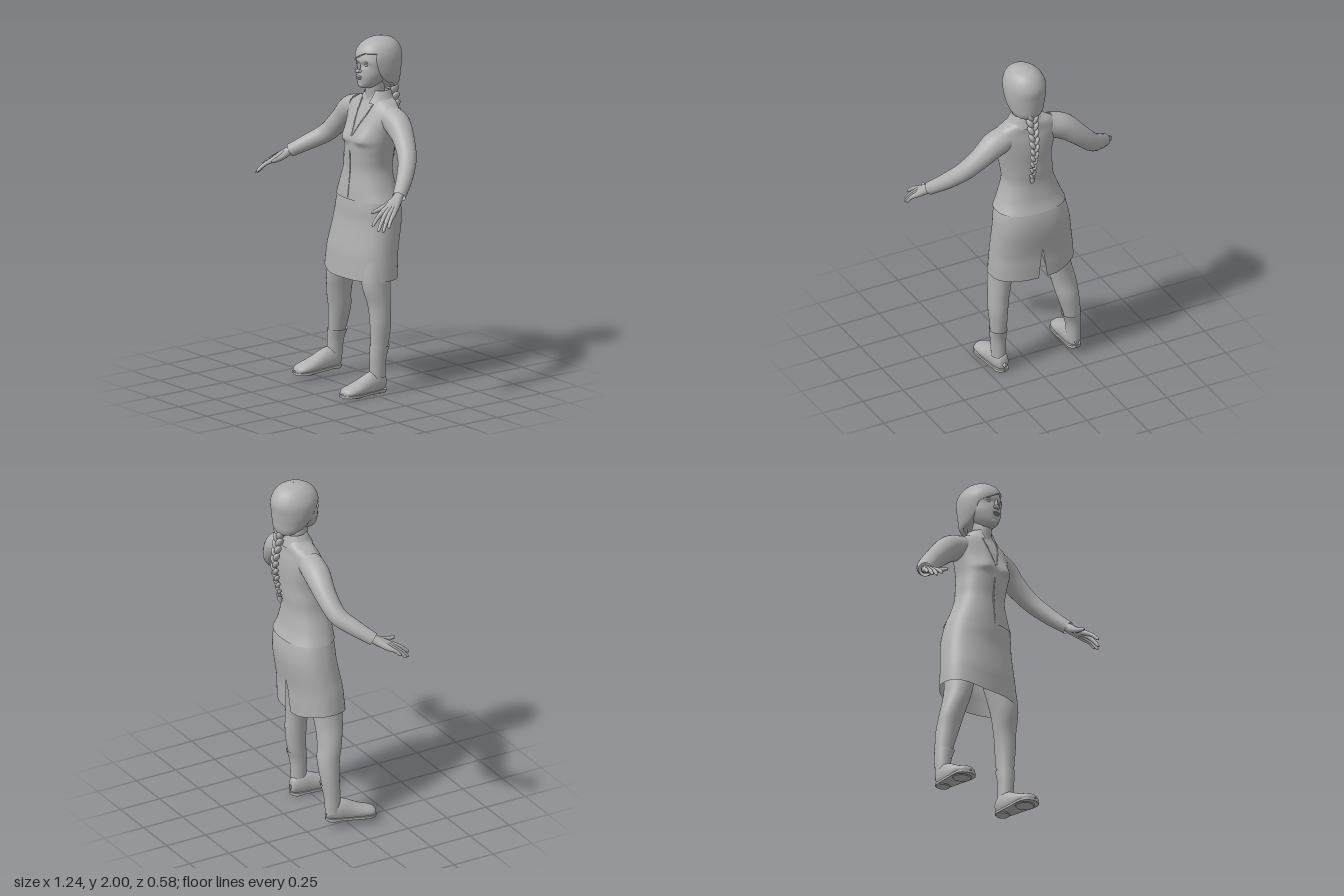
import * as THREE from 'three';

const grey = new THREE.MeshStandardMaterial({ color: 0xb0b0b0, side: THREE.DoubleSide });
grey.name = 'plain grey';
const V = (p) => new THREE.Vector3(...p);
const { smoothstep, lerp, clamp } = THREE.MathUtils;

function add(parent, geometry, name) {
  const mesh = new THREE.Mesh(geometry, grey);
  mesh.name = name;
  parent.add(mesh);
  return mesh;
}

// Smooth interpolation of any list of numbers
function spline(a, u) {
  const i = Math.min(Math.floor(u), a.length - 2), t = u - i;
  const p1 = a[i], p2 = a[i + 1], p0 = a[i - 1] ?? p1, p3 = a[i + 2] ?? p2;
  const m1 = (p2 - p0) / 2, m2 = (p3 - p1) / 2, t2 = t * t, t3 = t2 * t;
  return p1 * (2 * t3 - 3 * t2 + 1) + m1 * (t3 - 2 * t2 + t) + p2 * (3 * t2 - 2 * t3) + m2 * (t3 - t2);
}

// Skin over oval sections, rows of [y, centre x, radius x, centre z, radius z] from bottom to top.
// gap(y) opens the ring by that half angle at the seam angle; warp moves each finished point.
function loft(rows, { segs = 48, steps = 6, power = 2, seam = 0, gap = null, warp = null } = {}) {
  const pos = [], index = [], n = (rows.length - 1) * steps, cols = gap ? segs + 1 : segs;
  const squash = (s) => Math.sign(s) * Math.abs(s) ** (2 / power);
  for (let i = 0; i <= n; i++) {
    const [y, cx, rx, cz, rz] = [0, 1, 2, 3, 4].map((k) => spline(rows.map((r) => r[k]), i / steps));
    const g = gap ? gap(y) : 0;
    for (let j = 0; j < cols; j++) {
      const a = seam + g + (j / segs) * (2 * Math.PI - 2 * g);
      const v = V([cx + rx * squash(Math.sin(a)), y, cz + rz * squash(Math.cos(a))]);
      if (warp) warp(v, cx, cz);
      pos.push(v.x, v.y, v.z);
      if (i < n && j < segs) {
        const k = (j + 1) % cols, p = i * cols, q = p + cols;
        index.push(p + j, p + k, q + k, p + j, q + k, q + j);
      }
    }
  }
  const geo = new THREE.BufferGeometry();
  geo.setAttribute('position', new THREE.Float32BufferAttribute(pos, 3));
  geo.setIndex(index);
  geo.computeVertexNormals();
  return geo;
}

// Tube whose radius changes along the path, optionally with a rounded tip
function limb(points, radii, round = true, segs = 36, sides = 18) {
  const curve = new THREE.CatmullRomCurve3(points.map(V));
  const geo = new THREE.TubeGeometry(curve, segs, 1, sides);
  const p = geo.attributes.position, v = new THREE.Vector3();
  for (let i = 0; i <= segs; i++) {
    const u = i / segs, c = curve.getPointAt(u);
    let r = spline(radii, curve.getUtoTmapping(u) * (radii.length - 1));
    if (round) r *= Math.sqrt(Math.max(0, 1 - clamp((u - 0.9) / 0.1, 0, 1) ** 2));
    for (let j = 0; j <= sides; j++) {
      const k = i * (sides + 1) + j;
      v.fromBufferAttribute(p, k).sub(c).multiplyScalar(r).add(c);
      p.setXYZ(k, v.x, v.y, v.z);
    }
  }
  return geo;
}

function blob(parent, name, at, size, tilt = 0) {
  const m = add(parent, new THREE.SphereGeometry(1, 24, 16), name);
  m.position.set(...at);
  m.scale.set(...size);
  m.rotation.z = tilt;
  return m;
}

const torsoRows = [
  [1.085, 0.022, 0.208, -0.11, 0.144], [1.15, 0.022, 0.18, -0.102, 0.13], [1.25, 0.027, 0.148, -0.1, 0.118],
  [1.33, 0.036, 0.147, -0.1, 0.122], [1.4, 0.046, 0.152, -0.1, 0.124], [1.48, 0.05, 0.165, -0.112, 0.116],
  [1.55, 0.052, 0.18, -0.122, 0.102], [1.6, 0.053, 0.178, -0.13, 0.086], [1.635, 0.057, 0.14, -0.138, 0.076],
  [1.66, 0.062, 0.092, -0.14, 0.07], [1.69, 0.066, 0.062, -0.138, 0.062]];
const bust = (x, y) => {
  const f = Math.exp(-(((y - 1.43) / (y < 1.43 ? 0.025 : 0.07)) ** 2));
  return 0.027 * f * [-0.075, 0.075].reduce((s, d) => s + Math.exp(-(((x - 0.047 - d) / 0.055) ** 2)), 0);
};
// Height of the chest surface, for laying seams on it
function chest(x, y) {
  const i = clamp(torsoRows.findIndex((r) => r[0] >= y), 1, torsoRows.length - 1), a = torsoRows[i - 1], b = torsoRows[i];
  const [, cx, rx, cz, rz] = a.map((q, k) => lerp(q, b[k], (y - a[0]) / (b[0] - a[0])));
  return [x, y, cz + rz * (1 - Math.min(1, Math.abs(x - cx) / rx) ** 2.3) ** (1 / 2.3) + bust(x, y)];
}

function buildClothes(g) {
  add(g, loft(torsoRows, {
    segs: 80, steps: 10, power: 2.3,
    warp: (v, cx, cz) => { v.z += bust(v.x, v.y) * smoothstep(v.z, cz, cz + 0.07); },
  }), 'jacket');
  // Front closing and the two edges of the open neck
  const seams = [[[0.035, 1.45], [0.025, 1.36], [0.02, 1.25], [0.018, 1.09]],
    [[0.018, 1.65], [0.02, 1.58], [0.03, 1.5], [0.036, 1.44]],
    [[0.125, 1.65], [0.105, 1.58], [0.065, 1.5], [0.036, 1.44]]];
  for (const s of seams) add(g, limb(s.map((p) => chest(...p)), [0.004, 0.004], true, 40, 8), 'jacketSeam');
  add(g, loft([[1.635, 0.065, 0.108, -0.135, 0.09], [1.665, 0.067, 0.088, -0.137, 0.08],
    [1.7, 0.07, 0.068, -0.14, 0.068], [1.69, 0.07, 0.06, -0.14, 0.062]],
  { gap: (y) => 0.3 + (y - 1.63) * 5 }), 'collar');

  // Skirt, slit at the back and lifted a little on its right side
  add(g, loft([[0.642, -0.006, 0.25, -0.078, 0.148], [0.72, -0.003, 0.246, -0.082, 0.147], [0.8, 0, 0.24, -0.087, 0.146],
    [0.95, 0.01, 0.225, -0.11, 0.146], [1.04, 0.018, 0.212, -0.112, 0.144], [1.11, 0.022, 0.196, -0.108, 0.134]], {
    segs: 80, power: 2.3, seam: Math.PI, gap: (y) => Math.max(0, 0.83 - y) * 0.4,
    warp: (v) => { v.y += 0.25 * Math.max(0, -v.x - 0.1) * smoothstep(0.9 - v.y, 0, 0.25); },
  }), 'skirt');
}

function buildArm(g, side, path, hand) {
  const arm = new THREE.Group();
  arm.name = side + 'Arm';
  g.add(arm);
  add(arm, limb(path, [0.07, 0.073, 0.06, 0.052, 0.045, 0.037], false, 48, 28), 'sleeve');
  const wrist = path.at(-1), start = V(path.at(-2)).lerp(V(wrist), 0.8).toArray();
  // Fingers spread from the wrist; their thick roots make the palm
  hand.tips.forEach((tip, i) => {
    const k = V(hand.first).lerp(V(hand.last), i / 3), t = V(tip);
    const mid = k.clone().lerp(t, 0.5).add(V([0, 0.008, 0]));
    add(arm, limb([start, V(wrist).lerp(k, 0.3).toArray(), k.toArray(), mid.toArray(), tip],
      [0.024, 0.023, 0.015, 0.011, 0.009], true, 32, 14), 'finger');
  });
  const root = V(wrist).lerp(V(hand.thumb), 0.5).add(V([0, -0.008, 0])).toArray();
  add(arm, limb([wrist, root, hand.thumb], [0.022, 0.016, 0.009], true, 24, 14), 'thumb');
}

function buildLeg(g, side, rows, foot, turn, pitch) {
  const leg = new THREE.Group();
  leg.name = side + 'Leg';
  g.add(leg);
  add(leg, loft(rows, { segs: 36 }), 'leg');
  add(leg, loft(rows.slice(0, 3).map(([y, x, rx, z, rz]) => [Math.min(y, 0.27), x, rx + 0.003, z, rz + 0.003]), { segs: 36 }), 'sock');
  const shoe = new THREE.Group();
  shoe.name = 'shoe';
  shoe.position.set(...foot);
  shoe.rotation.set(pitch, turn, 0);
  leg.add(shoe);
  // Upper, lofted from heel to toe and flat underneath
  const upper = loft([[-0.105, 0, 0.008, -0.05, 0.015], [-0.095, 0, 0.03, -0.06, 0.045], [-0.05, 0, 0.043, -0.06, 0.066],
    [0, 0, 0.047, -0.055, 0.066], [0.05, 0, 0.052, -0.045, 0.054], [0.1, 0, 0.057, -0.038, 0.04],
    [0.15, 0, 0.055, -0.032, 0.03], [0.178, 0, 0.038, -0.028, 0.022], [0.19, 0, 0.006, -0.025, 0.006]],
  { segs: 40, warp: (v) => { v.z = Math.min(v.z, -0.016); } }).rotateX(Math.PI / 2);
  add(shoe, upper, 'shoeUpper');
  const outline = new THREE.Shape(new THREE.SplineCurve([[0, 0.108], [0.034, 0.09], [0.044, 0.03], [0.054, -0.06], [0.061, -0.12],
    [0.05, -0.17], [0, -0.193], [-0.05, -0.17], [-0.061, -0.12], [-0.054, -0.06], [-0.044, 0.03], [-0.034, 0.09], [0, 0.108]]
    .map((p) => new THREE.Vector2(...p))).getPoints(60));
  const sole = new THREE.ExtrudeGeometry(outline, { depth: 0.014, bevelEnabled: false }).rotateX(-Math.PI / 2);
  add(shoe, sole, 'sole').position.y = 0.006;
  const heel = add(shoe, new THREE.CylinderGeometry(0.04, 0.038, 0.012, 28), 'heel');
  heel.position.set(0, 0.006, -0.062);
  const ball = add(shoe, new THREE.CylinderGeometry(0.055, 0.05, 0.008, 28), 'solePad');
  ball.position.set(0, 0.004, 0.11);
}

function buildHead(g) {
  const head = new THREE.Group();
  head.name = 'head';
  g.add(head);
  add(head, loft([[1.58, 0.062, 0.075, -0.13, 0.062], [1.66, 0.065, 0.053, -0.125, 0.058],
    [1.72, 0.067, 0.05, -0.12, 0.058], [1.8, 0.068, 0.055, -0.125, 0.06]]), 'neck');
  add(head, loft([[1.718, 0.067, 0.004, -0.07, 0.01], [1.721, 0.067, 0.03, -0.07, 0.045], [1.738, 0.067, 0.05, -0.078, 0.066],
    [1.765, 0.067, 0.07, -0.09, 0.083], [1.8, 0.067, 0.087, -0.1, 0.094], [1.84, 0.068, 0.096, -0.11, 0.1],
    [1.88, 0.068, 0.1, -0.115, 0.108], [1.93, 0.069, 0.085, -0.12, 0.098]], {
    // Hollow eye sockets
    warp: (v) => {
      if (v.z > -0.09) for (const d of [-0.037, 0.037])
        v.z -= 0.011 * Math.exp(-(((v.x - 0.067 - d) / 0.022) ** 2) - ((v.y - 1.857) / 0.014) ** 2);
    },
  }), 'face');
  blob(head, 'noseBridge', [0.067, 1.843, -0.009], [0.009, 0.03, 0.012]);
  blob(head, 'noseTip', [0.067, 1.821, 0.001], [0.014, 0.011, 0.012]);
  blob(head, 'upperLip', [0.067, 1.788, -0.006], [0.024, 0.006, 0.01]);
  blob(head, 'lowerLip', [0.067, 1.778, -0.008], [0.02, 0.006, 0.01]);
  blob(head, 'chin', [0.067, 1.742, -0.023], [0.026, 0.017, 0.014]);
  for (const s of [-1, 1]) {
    blob(head, 'nostril', [0.067 + s * 0.012, 1.82, -0.006], [0.008, 0.008, 0.009]);
    blob(head, 'eye', [0.067 + s * 0.037, 1.857, -0.032], [0.014, 0.009, 0.011]);
    blob(head, 'eyebrow', [0.067 + s * 0.037, 1.876, -0.022], [0.021, 0.004, 0.007], -s * 0.1);
  }
  // Hair cap, sunk under the face below a side-swept fringe
  add(head, loft([[1.705, 0.07, 0.04, -0.2, 0.035], [1.72, 0.07, 0.072, -0.19, 0.062], [1.745, 0.07, 0.092, -0.175, 0.088],
    [1.785, 0.07, 0.105, -0.157, 0.112], [1.84, 0.069, 0.115, -0.147, 0.128], [1.9, 0.069, 0.115, -0.142, 0.138],
    [1.95, 0.072, 0.096, -0.142, 0.118], [1.982, 0.074, 0.064, -0.145, 0.08], [1.996, 0.075, 0.03, -0.145, 0.036],
    [2.0, 0.075, 0.001, -0.145, 0.001]], {
    segs: 128, steps: 14,
    warp: (v, cx, cz) => {
      const line = Math.min(1.862 + (v.x - 0.0) * 0.55, 1.92);
      const w = v.z > cz ? smoothstep(line - v.y, -0.004, 0.006) * smoothstep(0.09 - Math.abs(v.x - 0.072), 0, 0.008) : 0;
      v.x = lerp(v.x, cx, 0.32 * w);
      v.z = lerp(v.z, cz, 0.32 * w);
    },
  }), 'hair');

  // Braid of alternating slanted locks, thinning downwards
  const path = new THREE.CatmullRomCurve3([[0.07, 1.75, -0.235], [0.07, 1.68, -0.242], [0.07, 1.6, -0.258],
    [0.069, 1.5, -0.268], [0.068, 1.4, -0.252], [0.067, 1.33, -0.24]].map(V));
  for (let i = 0; i < 20; i++) {
    const p = path.getPointAt(i / 19), s = i % 2 ? 1 : -1, k = 1 - 0.55 * (i / 19);
    blob(head, 'braidLock', [p.x + s * 0.015 * k, p.y, p.z], [0.019 * k, 0.037 * k, 0.027 * k], -s * 0.5);
  }
  add(head, new THREE.TorusGeometry(0.01, 0.005, 10, 20).rotateX(Math.PI / 2), 'hairBand').position.set(0.067, 1.325, -0.239);
  add(head, limb([[0.067, 1.33, -0.24], [0.067, 1.305, -0.236], [0.066, 1.275, -0.229]], [0.008, 0.014, 0.004]), 'braidEnd');
}

export function createModel() {
  const g = new THREE.Group();
  g.name = 'womanInSkirt';
  buildClothes(g);
  buildArm(g, 'right', [[-0.08, 1.565, -0.13], [-0.17, 1.535, -0.138], [-0.27, 1.45, -0.14], [-0.365, 1.358, -0.118],
    [-0.44, 1.302, -0.055], [-0.515, 1.245, 0.022]], {
    first: [-0.543, 1.2, 0.125], last: [-0.583, 1.2, 0.085], thumb: [-0.487, 1.208, 0.175],
    tips: [[-0.573, 1.14, 0.215], [-0.598, 1.125, 0.2], [-0.612, 1.13, 0.178], [-0.616, 1.155, 0.14]],
  });
  buildArm(g, 'left', [[0.17, 1.565, -0.13], [0.25, 1.533, -0.133], [0.33, 1.46, -0.118], [0.41, 1.375, -0.078],
    [0.48, 1.292, -0.005], [0.54, 1.215, 0.08]], {
    first: [0.548, 1.15, 0.2], last: [0.588, 1.14, 0.155], thumb: [0.502, 1.142, 0.245],
    tips: [[0.57, 1.085, 0.29], [0.595, 1.057, 0.268], [0.61, 1.052, 0.245], [0.616, 1.07, 0.212]],
  });
  buildLeg(g, 'right', [[0.09, -0.266, 0.037, -0.092, 0.042], [0.2, -0.26, 0.041, -0.096, 0.045], [0.3, -0.245, 0.052, -0.1, 0.055],
    [0.4, -0.224, 0.064, -0.097, 0.064], [0.5, -0.207, 0.07, -0.08, 0.069], [0.65, -0.168, 0.074, -0.07, 0.085],
    [0.95, -0.1, 0.1, -0.1, 0.1]], [-0.273, 0.037, -0.03], -0.13, 0.06);
  buildLeg(g, 'left', [[0.09, 0.18, 0.037, -0.05, 0.042], [0.2, 0.183, 0.041, -0.05, 0.046], [0.3, 0.187, 0.047, -0.06, 0.055],
    [0.4, 0.19, 0.055, -0.062, 0.062], [0.5, 0.183, 0.06, -0.058, 0.066], [0.65, 0.165, 0.072, -0.05, 0.088],
    [0.95, 0.125, 0.1, -0.1, 0.1]], [0.172, 0, 0], 0, 0);
  buildHead(g);
  return g;
}
